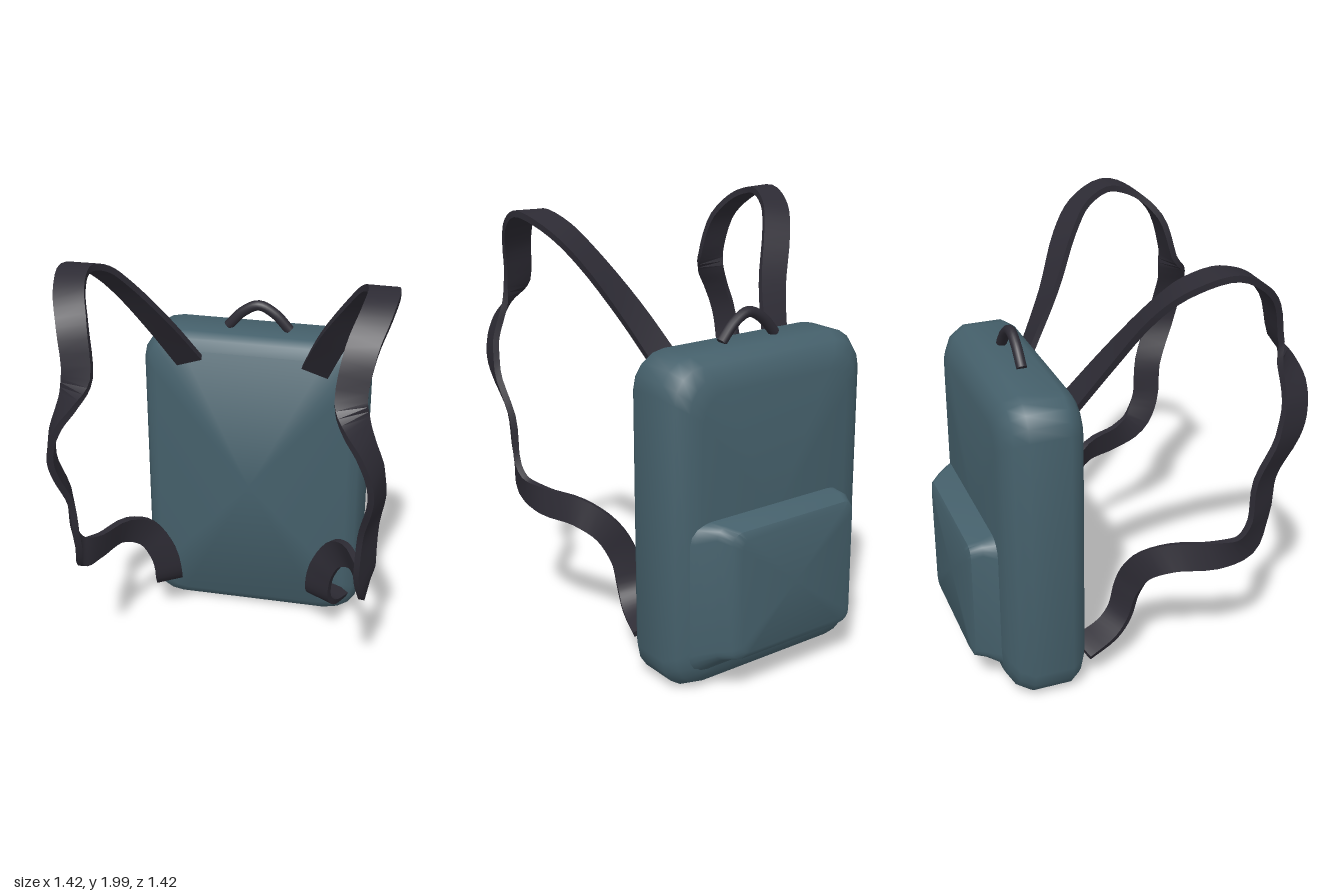
import * as THREE from 'three';
import { toCreasedNormals } from 'three/addons/utils/BufferGeometryUtils.js';

const V = (x, y, z) => new THREE.Vector3(x, y, z);

// Skin a list of closed rings; ends are fanned to a point (ring centre by default)
function loft(rings, crease, endPoint) {
  const pos = [];
  const tri = (...pts) => pts.forEach((p) => pos.push(p.x, p.y, p.z));
  const centre = (ring) => ring.reduce((s, p) => s.add(p), V(0, 0, 0)).divideScalar(ring.length);
  const n = rings[0].length;
  for (let k = 0; k < rings.length - 1; k++) {
    const a = rings[k], b = rings[k + 1];
    for (let i = 0; i < n; i++) {
      const j = (i + 1) % n;
      tri(a[i], a[j], b[j]);
      tri(a[i], b[j], b[i]);
    }
  }
  const first = rings[0], last = rings[rings.length - 1];
  const c0 = centre(first), c1 = endPoint || centre(last);
  for (let i = 0; i < n; i++) {
    const j = (i + 1) % n;
    tri(c0, first[j], first[i]);
    tri(c1, last[i], last[j]);
  }
  const geo = new THREE.BufferGeometry();
  geo.setAttribute('position', new THREE.Float32BufferAttribute(pos, 3));
  return toCreasedNormals(geo, crease);
}

// Rounded rectangle ring at depth z
function roundedRing(x0, x1, y0, y1, r, z) {
  const pts = [];
  const corners = [[x1 - r, y1 - r], [x0 + r, y1 - r], [x0 + r, y0 + r], [x1 - r, y0 + r]];
  corners.forEach(([cx, cy], q) => {
    for (let i = 0; i <= 4; i++) {
      const a = (q + i / 4) * Math.PI / 2;
      pts.push(V(cx + r * Math.cos(a), cy + r * Math.sin(a), z));
    }
  });
  return pts;
}

// Strap stations: centre x, y, z, then direction across the width
const STRAP = [
  [0.295, 1.355, -0.22, 0.87, -0.45, -0.15],
  [0.395, 1.59, -0.075, 0.87, -0.4, -0.3],
  [0.52, 1.81, 0.05, 0.87, -0.3, -0.45],
  [0.59, 1.92, 0.15, 0.95, -0.15, -0.3],
  [0.635, 1.975, 0.30, 1, 0, 0],
  [0.62, 1.93, 0.43, 1, 0, 0],
  [0.58, 1.82, 0.535, 1, 0, 0],
  [0.555, 1.63, 0.59, 1, 0, -0.1],
  [0.583, 1.54, 0.625, 0.7, 0, -0.7],
  [0.63, 1.45, 0.645, 0.38, 0, -0.93],
  [0.667, 1.35, 0.64, 0.3, 0, -0.95],
  [0.677, 1.22, 0.61, 0.3, 0, -0.95],
  [0.645, 1.02, 0.535, 0.4, 0, -0.92],
  [0.637, 0.82, 0.52, 0.45, 0, -0.9],
  [0.635, 0.69, 0.46, 0.1, 0.7, -0.7],
  [0.6, 0.645, 0.34, -0.1, 1, 0],
  [0.53, 0.63, 0.16, -0.25, 0.97, 0],
  [0.45, 0.555, 0.05, -0.55, 0.7, -0.5],
  [0.385, 0.42, 0.01, -0.88, 0.2, -0.45],
  [0.37, 0.28, -0.02, -0.9, 0.1, -0.35],
  [0.39, 0.215, -0.085, -0.9, 0.2, -0.3],
  [0.435, 0.175, -0.23, -0.85, 0.4, -0.3],
];

function strapGeometry(side) {
  const path = new THREE.CatmullRomCurve3(STRAP.map((s) => V(s[0], s[1], s[2])));
  const widths = new THREE.CatmullRomCurve3(STRAP.map((s) => V(s[3], s[4], s[5])));
  const rings = [];
  const steps = (STRAP.length - 1) * 4;
  for (let k = 0; k <= steps; k++) {
    const t = k / steps;
    const p = path.getPoint(t), tan = path.getTangent(t), w = widths.getPoint(t);
    w.addScaledVector(tan, -w.dot(tan)).normalize();
    const n = tan.clone().cross(w);
    const ring = [[1, 1], [-1, 1], [-1, -1], [1, -1]].map(([a, b]) =>
      p.clone().addScaledVector(w, a * 0.064).addScaledVector(n, b * 0.014));
    if (side < 0) {
      ring.forEach((q) => { q.x = -q.x; });
      ring.reverse();
    }
    rings.push(ring);
  }
  return loft(rings, 0.8);
}

export function createModel() {
  const fabric = new THREE.MeshStandardMaterial({ color: 0x45606b });
  fabric.name = 'teal fabric';
  const webbing = new THREE.MeshStandardMaterial({ color: 0x2d2b34 });
  webbing.name = 'dark webbing';

  const group = new THREE.Group();
  group.name = 'backpack';
  const add = (name, geo, mat) => {
    const mesh = new THREE.Mesh(geo, mat);
    mesh.name = name;
    group.add(mesh);
    return mesh;
  };

  // Main bag: softened box whose front panel rises to a shallow peak
  const bodyRings = [[-0.59, 0.14], [-0.575, 0.08], [-0.54, 0.03], [-0.48, 0],
    [-0.30, 0], [-0.255, 0.025], [-0.225, 0.07]].map(([z, d]) =>
    roundedRing(-0.53 + d, 0.53 - d, d, 1.47 - d, 0.15 - d * 0.3, z));
  add('body', loft(bodyRings, 0.8, V(0, 0.75, -0.152)), fabric);

  // Back pocket, flaring into the bag at the sides and sloping to its base
  const pocketRings = [
    roundedRing(-0.31, 0.28, 0.20, 0.72, 0.04, -0.712),
    roundedRing(-0.345, 0.325, 0.175, 0.755, 0.05, -0.70),
    roundedRing(-0.365, 0.37, 0.165, 0.775, 0.05, -0.65),
    roundedRing(-0.38, 0.44, 0.115, 0.785, 0.08, -0.59),
    roundedRing(-0.46, 0.49, 0.045, 0.79, 0.12, -0.52),
  ];
  add('backPocket', loft(pocketRings, 0.8), fabric);

  // Carry handle
  const handlePath = new THREE.CatmullRomCurve3([
    V(-0.145, 1.475, -0.385), V(-0.075, 1.55, -0.385), V(0, 1.586, -0.385),
    V(0.075, 1.55, -0.385), V(0.145, 1.475, -0.385)]);
  add('handle', new THREE.TubeGeometry(handlePath, 24, 0.024, 10), webbing);
  // Flat ends of the handle
  [0, 1].forEach((t) => {
    const cap = add('handleEnd', new THREE.CircleGeometry(0.024, 10), webbing);
    const p = handlePath.getPoint(t);
    cap.position.copy(p);
    cap.lookAt(p.clone().addScaledVector(handlePath.getTangent(t), t ? 1 : -1));
  });

  // Shoulder straps
  add('leftStrap', strapGeometry(1), webbing);
  add('rightStrap', strapGeometry(-1), webbing);

  return group;
}
